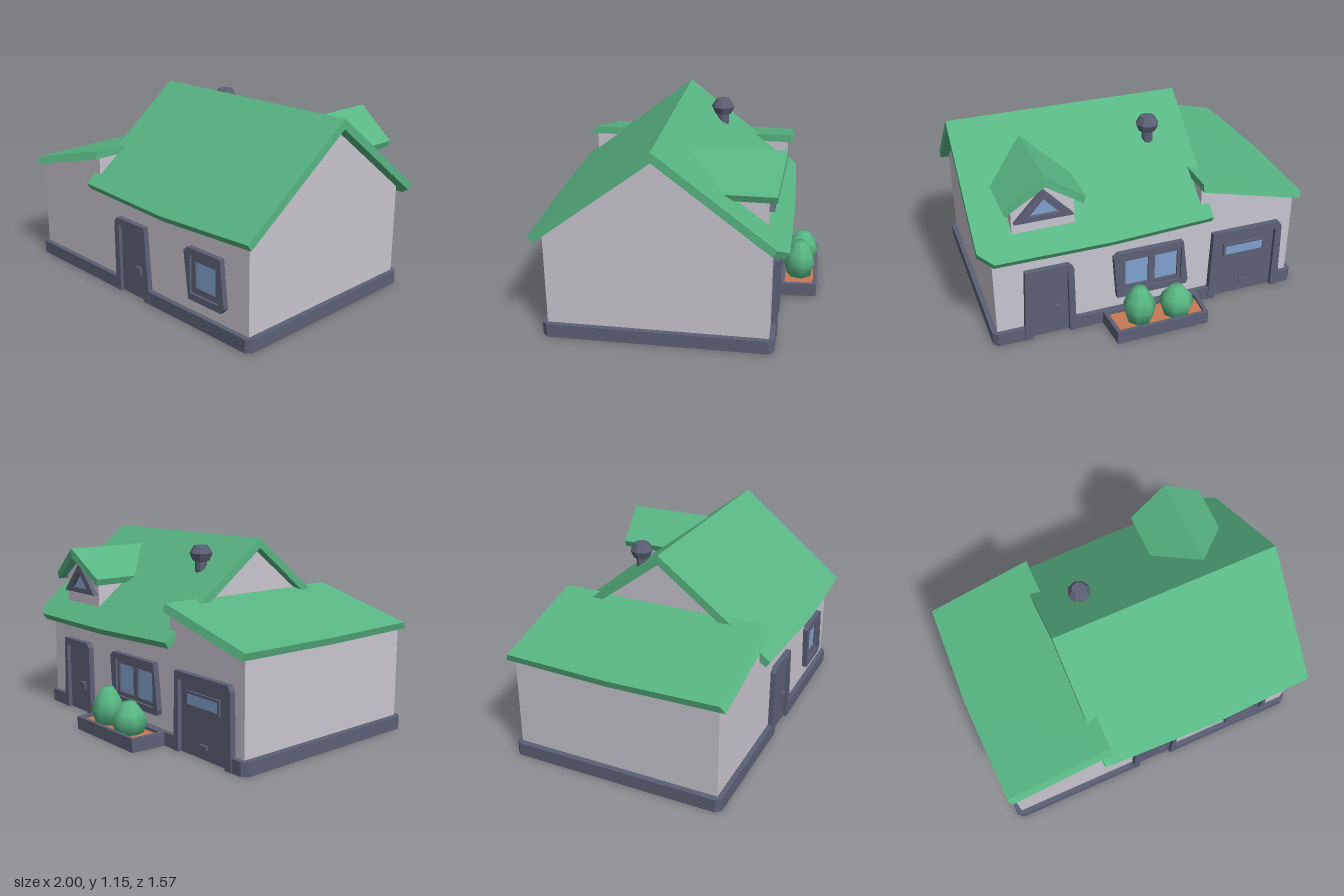
import * as THREE from 'three';

const mat = (name, color) => {
  const m = new THREE.MeshStandardMaterial({ color });
  m.name = name;
  return m;
};

// Solid through a row of convex loops of [x, y, z], with flat ends
function loft(loops) {
  const p = [];
  const n = loops[0].length;
  const tri = (a, b, c) => p.push(...a, ...b, ...c);
  for (let i = 0; i < loops.length - 1; i++) {
    for (let j = 0; j < n; j++) {
      const k = (j + 1) % n;
      const [a, b, c, d] = [loops[i][j], loops[i][k], loops[i + 1][k], loops[i + 1][j]];
      tri(a, b, c);
      tri(a, c, d);
    }
  }
  const first = loops[0], last = loops[loops.length - 1];
  for (let j = 1; j < n - 1; j++) {
    tri(first[0], first[j + 1], first[j]);
    tri(last[0], last[j], last[j + 1]);
  }
  // Turn the faces outward if the enclosed volume is negative
  let volume = 0;
  const v = i => new THREE.Vector3(p[i], p[i + 1], p[i + 2]);
  for (let i = 0; i < p.length; i += 9) volume += v(i).dot(v(i + 3).cross(v(i + 6)));
  if (volume < 0) {
    for (let i = 0; i < p.length; i += 9) {
      for (let k = 0; k < 3; k++) [p[i + 3 + k], p[i + 6 + k]] = [p[i + 6 + k], p[i + 3 + k]];
    }
  }
  const g = new THREE.BufferGeometry();
  g.setAttribute('position', new THREE.Float32BufferAttribute(p, 3));
  g.computeVertexNormals();
  return g;
}

const outline = pts => pts.map(([x, y]) => new THREE.Vector2(x, y));

// Upright plate between two z positions, with an optional hole
function plate(pts, z0, z1, hole) {
  const s = new THREE.Shape(outline(pts));
  if (hole) s.holes.push(new THREE.Path(outline(hole)));
  return new THREE.ExtrudeGeometry(s, { depth: z1 - z0, bevelEnabled: false }).translate(0, 0, z0);
}

const rect = (x0, x1, y0, y1) => [[x0, y0], [x1, y0], [x1, y1], [x0, y1]];

export function createModel() {
  const house = new THREE.Group();
  house.name = 'house';
  const wall = mat('wall', 0xc8c5ce);
  const trim = mat('slate trim', 0x5c6075);
  const green = mat('green', 0x58b583);
  const glass = mat('glass', 0x82a2cf);
  const soil = mat('soil', 0xc67a54);

  const add = (name, geometry, material) => {
    const m = new THREE.Mesh(geometry, material);
    m.name = name;
    house.add(m);
    return m;
  };
  const box = (name, x0, x1, y0, y1, z0, z1, material) =>
    add(name, new THREE.BoxGeometry(x1 - x0, y1 - y0, z1 - z0)
      .translate((x0 + x1) / 2, (y0 + y1) / 2, (z0 + z1) / 2), material);

  // Foundation with chamfered corners and a gap at each door (plan is x, -z)
  const plan = [
    [-0.98, -0.70], [-0.95, -0.73], [-0.125, -0.73], [-0.125, -0.69], [0.095, -0.69], [0.095, -0.73],
    [0.92, -0.73], [0.95, -0.70], [0.95, 0.54], [0.92, 0.57], [0.72, 0.57], [0.72, 0.53],
    [0.495, 0.53], [0.495, 0.57], [-0.44, 0.57], [-0.44, 0.53], [-0.83, 0.53], [-0.83, 0.57],
    [-0.95, 0.57], [-0.98, 0.54],
  ];
  add('foundation', plate(plan, 0, 0.08).rotateX(-Math.PI / 2), trim);

  // Walls: gabled main block and lean-to wing
  const gable = x => [[0.70, 0.03], [0.70, 0.63], [0.08, 1.10], [-0.54, 0.63], [-0.54, 0.03]]
    .map(([z, y]) => [x, y, z]);
  add('mainWalls', loft([gable(-0.335), gable(0.92)]), wall);
  add('wingWalls', plate([[-0.945, 0.03], [-0.33, 0.03], [-0.33, 0.785], [-0.945, 0.632]], -0.54, 0.70), wall);

  // Main roof: each slope is a bowed slab; stations are [ridge x, eave x, run]
  const slope = (dir, stations) => loft(stations.map(([rx, ex, run]) => [
    [rx, 1.15, 0.08],
    [ex, 1.15 - 0.766 * run, 0.08 + dir * run],
    [ex, 1.093 - 0.766 * (run - 0.025), 0.08 + dir * (run - 0.025)],
    [rx, 1.093, 0.08],
  ]));
  add('frontRoof', slope(1, [[-0.4, -0.38, 0.685], [0.33, 0.33, 0.705], [1.0, 0.97, 0.685]]), green);
  add('backRoof', slope(-1, [[-0.4, -0.38, 0.695], [0.25, 0.25, 0.715], [0.92, 0.92, 0.713], [1.0, 1.0, 0.65]]), green);

  // Wing roof: lean-to slab with a slightly bowed low edge
  add('wingRoof', loft([
    [-0.570, -0.585, 0.978], [0.07, 0.07, 1.0], [0.712, 0.742, 0.978],
  ].map(([zTop, zBottom, low]) => [
    [-low, 0.655, zTop], [-0.325, 0.825, zTop], [-0.325, 0.778, zBottom], [-low + 0.012, 0.614, zBottom],
  ])), green);

  // Dormer: walls, two roof slopes and a triangular window
  add('dormerWalls', plate([[0.43, 0.65], [0.79, 0.65], [0.79, 0.88], [0.61, 1.01], [0.43, 0.88]], -0.51, -0.1), wall);
  for (const s of [-1, 1]) {
    const section = (ridgeZ, eaveZ) => [
      [0.61, 1.055, ridgeZ], [0.61 + s * 0.235, 0.88, eaveZ],
      [0.61 + s * 0.22, 0.84, eaveZ], [0.61, 1.0, ridgeZ],
    ];
    add(s > 0 ? 'dormerRoofLeft' : 'dormerRoofRight', loft([section(-0.59, -0.555), section(-0.03, -0.26)]), green);
  }
  add('dormerWindowFrame', plate([[0.44, 0.77], [0.78, 0.77], [0.61, 0.955]], -0.54, -0.50,
    [[0.52, 0.80], [0.70, 0.80], [0.61, 0.90]]), trim);
  add('dormerGlass', plate([[0.51, 0.795], [0.71, 0.795], [0.61, 0.905]], -0.518, -0.511), glass);

  // Doors: leaning frame open at the bottom, recessed leaf
  const door = (name, x0, x1, outer, z0, z1, leafZ) => {
    const [a, b, c, d, e] = outer;
    add(name + 'Frame', plate([[a, 0], [x0, 0], [x0, 0.42], [x1, 0.42], [x1, 0], [e, 0], [d, 0.465], [c, 0.465], [b, 0.435]], z0, z1), trim);
    box(name, x0, x1, 0, 0.42, leafZ - 0.01, leafZ + 0.01, trim);
  };
  door('frontDoor', -0.125, 0.095, [-0.167, -0.165, -0.14, 0.11, 0.142], 0.68, 0.732, 0.70);
  door('backDoor', 0.495, 0.72, [0.455, 0.46, 0.485, 0.745, 0.765], -0.575, -0.52, -0.54);
  door('garageDoor', -0.83, -0.44, [-0.88, -0.87, -0.85, -0.41, -0.395], -0.575, -0.52, -0.54);
  // Lever handles and garage fittings
  box('frontKnob', 0.035, 0.055, 0.15, 0.20, 0.705, 0.722, trim);
  box('frontHandle', 0.01, 0.058, 0.18, 0.20, 0.715, 0.73, trim);
  box('backKnob', 0.54, 0.56, 0.15, 0.20, -0.565, -0.545, trim);
  box('backHandle', 0.54, 0.59, 0.18, 0.20, -0.573, -0.558, trim);
  box('garageHandle', -0.67, -0.61, 0.065, 0.085, -0.565, -0.545, trim);
  add('garageWindowFrame', plate(rect(-0.77, -0.49, 0.275, 0.365), -0.562, -0.545, rect(-0.755, -0.505, 0.29, 0.35)), trim);
  box('garageGlass', -0.755, -0.505, 0.29, 0.35, -0.557, -0.549, glass);

  // Front window: outer surround, stepped sash and pane
  add('frontWindowFrame', plate([[0.485, 0.16], [0.74, 0.16], [0.765, 0.19], [0.735, 0.465], [0.48, 0.465], [0.452, 0.44]],
    0.68, 0.732, rect(0.50, 0.722, 0.2, 0.422)), trim);
  add('frontWindowSash', plate(rect(0.50, 0.722, 0.2, 0.422), 0.68, 0.718, rect(0.53, 0.69, 0.235, 0.39)), trim);
  box('frontGlass', 0.53, 0.69, 0.235, 0.39, 0.699, 0.706, glass);

  // Back window: wide surround with two panes
  add('backWindowFrame', plate([[-0.24, 0.16], [0.20, 0.16], [0.22, 0.44], [0.19, 0.465], [-0.215, 0.465], [-0.25, 0.19]],
    -0.575, -0.52, rect(-0.205, 0.165, 0.2, 0.425)), trim);
  for (const x of [-0.205, -0.02]) {
    add('backWindowSash', plate(rect(x, x + 0.185, 0.2, 0.425), -0.56, -0.52, rect(x + 0.02, x + 0.165, 0.225, 0.4)), trim);
    box('backGlass', x + 0.02, x + 0.165, 0.225, 0.4, -0.547, -0.54, glass);
  }

  // Chimney pipe with a flared eight-sided cap
  const lathe = (pts, sides) => new THREE.LatheGeometry(outline(pts), sides);
  const chimney = lathe([[0.036, 0.88], [0.036, 1.01], [0.05, 1.015], [0.07, 1.06], [0.042, 1.105], [0, 1.105]], 8).toNonIndexed();
  chimney.computeVertexNormals();
  add('chimney', chimney, trim).position.set(-0.14, 0, -0.155);

  // Planter: tapering rim, soil and two bushes
  const rim = new THREE.Shape(outline([[-0.312, 0.55], [0.292, 0.55], [0.273, 0.785], [-0.295, 0.785]]));
  rim.holes.push(new THREE.Path(outline([[-0.285, 0.59], [0.265, 0.59], [0.252, 0.763], [-0.273, 0.763]])));
  add('planterRim', new THREE.ExtrudeGeometry(rim, { depth: 0.08, bevelEnabled: false }).rotateX(-Math.PI / 2), trim);
  box('planterBase', -0.29, 0.27, 0, 0.03, -0.77, -0.57, trim);
  box('planterSoil', -0.28, 0.26, 0.03, 0.062, -0.766, -0.58, soil);
  const bush = (name, x, z, r, h) => {
    const profile = [[0.0, 0], [0.75 * r, 0], [r, 0.42 * h], [0.8 * r, 0.68 * h], [0.36 * r, h], [0, h]];
    add(name, lathe(profile, 7), green).position.set(x, 0.055, z);
  };
  bush('tallBush', 0.10, -0.675, 0.1, 0.225);
  bush('wideBush', -0.13, -0.685, 0.107, 0.185);

  return house;
}
